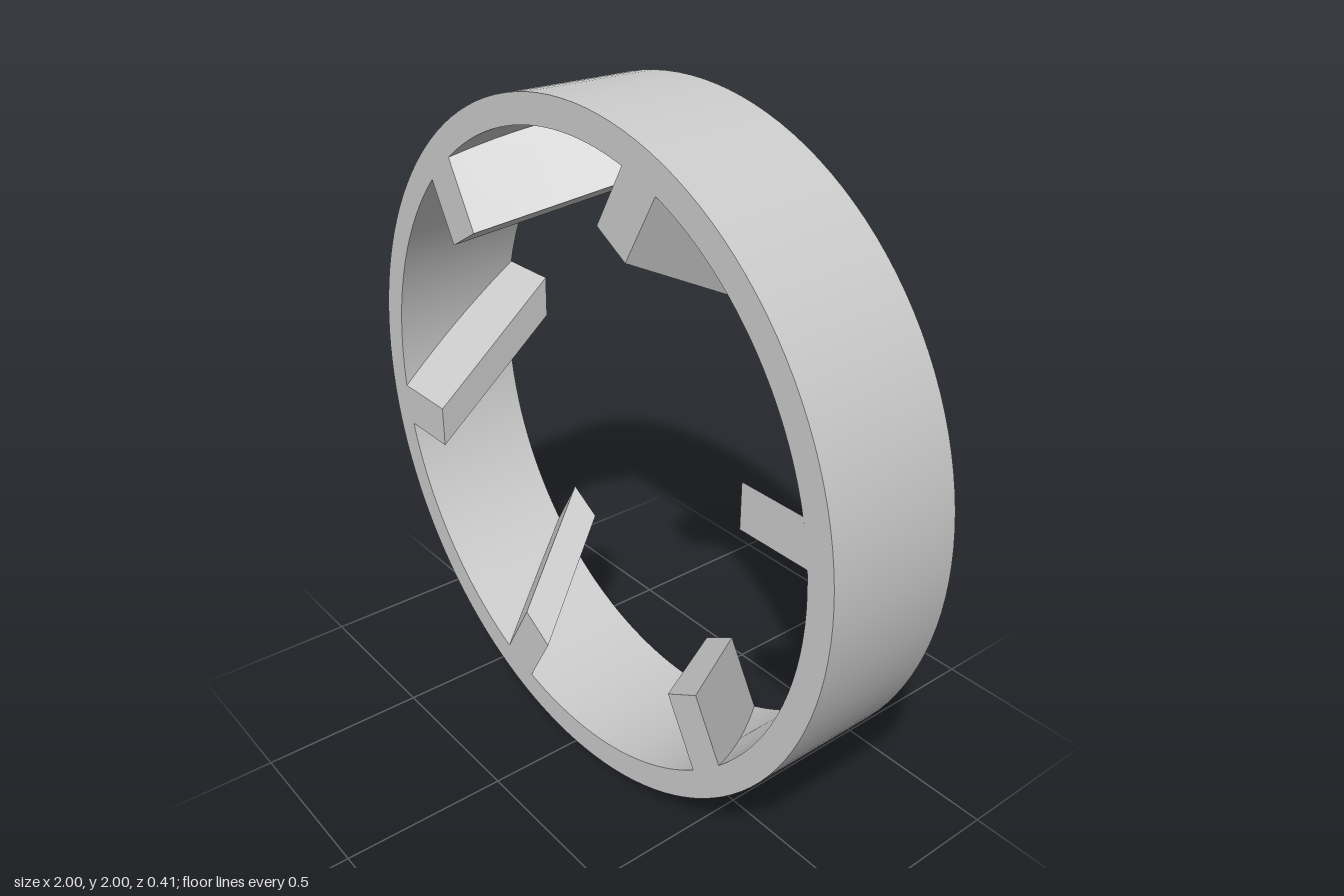
import * as THREE from 'three';
import { toCreasedNormals } from 'three/addons/utils/BufferGeometryUtils.js';

const OUTER = 1, INNER = 0.917, HALF = 0.207; // ring radii and half depth
const VANES = 6, TIP = 0.687, THICK = 0.13, SHIFT = 0.173;

// Square-section band, its axis along z
function ringGeometry() {
  const profile = [
    [INNER, -HALF], [OUTER, -HALF], [OUTER, HALF], [INNER, HALF], [INNER, -HALF],
  ].map(([r, y]) => new THREE.Vector2(r, y));
  const geometry = new THREE.LatheGeometry(profile, 128).rotateX(Math.PI / 2);
  return toCreasedNormals(geometry, 0.6);
}

// Slanted block: flat inner tip, outer end curved to meet the band
function vaneGeometry() {
  const geometry = new THREE.BoxGeometry(1, THICK, 2 * HALF, 1, 4, 24);
  const p = geometry.attributes.position;
  for (let i = 0; i < p.count; i++) {
    const y = p.getY(i) + (p.getZ(i) / HALF) * SHIFT;
    const x = p.getX(i) < 0 ? TIP : Math.sqrt(INNER * INNER - y * y);
    p.setXY(i, x, y);
  }
  return toCreasedNormals(geometry, 0.4);
}

export function createModel() {
  const group = new THREE.Group();
  group.name = 'vanedRing';
  const material = new THREE.MeshStandardMaterial({ color: 0xcccccc });

  const ring = new THREE.Mesh(ringGeometry(), material);
  ring.name = 'ring';
  ring.position.y = OUTER;
  group.add(ring);

  // Six vanes spaced evenly around the inside
  const geometry = vaneGeometry();
  for (let i = 0; i < VANES; i++) {
    const vane = new THREE.Mesh(geometry, material);
    vane.name = `vane${i + 1}`;
    vane.position.y = OUTER;
    vane.rotation.z = (i * 2 * Math.PI) / VANES;
    group.add(vane);
  }
  return group;
}
